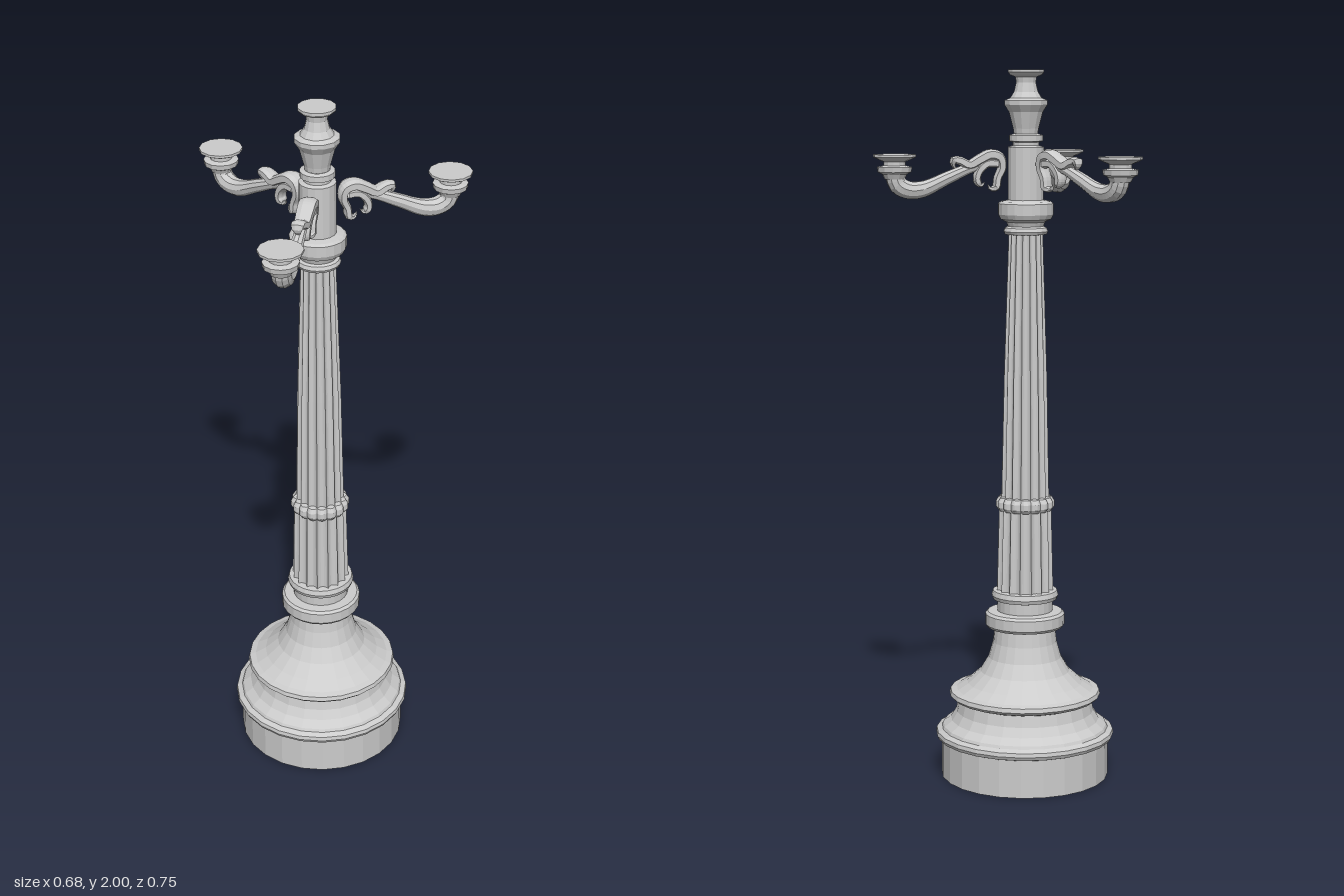
import * as THREE from 'three';

const AXIS_X = -0.085;
const FLUTES = 16;
const metal = new THREE.MeshStandardMaterial({ color: 0xcccccc, flatShading: true, side: THREE.DoubleSide });

function part(name, geometry) {
  const mesh = new THREE.Mesh(geometry, metal);
  mesh.name = name;
  return mesh;
}

// Turned piece from [radius, height] pairs
function turned(name, profile, sides) {
  return part(name, new THREE.LatheGeometry(profile.map(([r, y]) => new THREE.Vector2(r, y)), sides));
}

// Turned piece whose radius is scaled by a function of the angle
function ribbed(name, profile, rule) {
  const mesh = turned(name, profile, FLUTES * 6);
  const p = mesh.geometry.attributes.position;
  for (let i = 0; i < p.count; i++) {
    const k = rule(Math.atan2(p.getX(i), p.getZ(i)));
    p.setX(i, p.getX(i) * k);
    p.setZ(i, p.getZ(i) * k);
  }
  mesh.geometry.computeVertexNormals();
  return mesh;
}

// Tapered sweep along a planar path; width widens and squares the section in z
function sweep(name, path, radii, width = 1, steps = 28) {
  const curve = new THREE.CatmullRomCurve3(path.map(([x, y]) => new THREE.Vector3(x, y, 0)));
  const sides = 10;
  const geometry = new THREE.TubeGeometry(curve, steps, 1, sides);
  const p = geometry.attributes.position;
  for (let i = 0; i < p.count; i++) {
    const t = Math.floor(i / (sides + 1)) / steps;
    const c = curve.getPointAt(t);
    const f = t * (radii.length - 1);
    const k = Math.min(Math.floor(f), radii.length - 2);
    const r = THREE.MathUtils.lerp(radii[k], radii[k + 1], f - k);
    const z = width > 1 ? THREE.MathUtils.clamp(p.getZ(i) * 1.25, -1, 1) : p.getZ(i);
    p.setXYZ(i, c.x + (p.getX(i) - c.x) * r, c.y + (p.getY(i) - c.y) * r, z * r * width);
  }
  geometry.computeVertexNormals();
  return part(name, geometry);
}

// Bracket arm pointing along +x from the post axis
function createArm() {
  const arm = new THREE.Group();
  arm.name = 'lampArm';
  arm.add(sweep('scroll', [
    [0.108, 1.69], [0.1, 1.676], [0.085, 1.68], [0.08, 1.705], [0.068, 1.735], [0.075, 1.762],
    [0.1, 1.77], [0.13, 1.757], [0.16, 1.742], [0.185, 1.753], [0.203, 1.755], [0.203, 1.738], [0.19, 1.73],
  ], [0, 0.011, 0.011, 0.013, 0.015, 0.015, 0.014, 0.013, 0.011, 0], 1.5, 44));
  arm.add(sweep('innerScroll', [
    [0.08, 1.745], [0.11, 1.745], [0.132, 1.725], [0.138, 1.7], [0.127, 1.686], [0.115, 1.695],
  ], [0.012, 0.012, 0.012, 0.011, 0.01, 0], 1.5));
  arm.add(sweep('branch', [
    [0.12, 1.742], [0.16, 1.732], [0.22, 1.707], [0.29, 1.677], [0.33, 1.675], [0.358, 1.69], [0.367, 1.72],
  ], [0.013, 0.015, 0.018, 0.02, 0.024, 0.026, 0.027]));
  const cup = turned('lampCup', [
    [0, 1.7], [0.028, 1.705], [0.034, 1.718], [0.046, 1.724], [0.048, 1.738], [0.03, 1.742],
    [0.03, 1.752], [0.045, 1.758], [0.059, 1.765], [0.059, 1.772], [0, 1.772],
  ], 12);
  cup.position.x = 0.367;
  cup.rotation.y = Math.PI / 12;
  arm.add(cup);
  return arm;
}

export function createModel() {
  const model = new THREE.Group();
  model.name = 'streetLamp';

  // Stepped base and flared pedestal
  model.add(turned('base', [
    [0, 0], [0.239, 0], [0.239, 0.108], [0.25, 0.112], [0.255, 0.122], [0.253, 0.133], [0.238, 0.14],
    [0.234, 0.148], [0.212, 0.165], [0.197, 0.19], [0.19, 0.222], [0.207, 0.228], [0.216, 0.237],
    [0.213, 0.249], [0.195, 0.254],
  ], 24));
  model.add(turned('pedestal', [
    [0.195, 0.254], [0.165, 0.272], [0.128, 0.305], [0.104, 0.345], [0.091, 0.39], [0.086, 0.432],
    [0.107, 0.434], [0.113, 0.442], [0.113, 0.472], [0.106, 0.479], [0.079, 0.481], [0.079, 0.512],
    [0.091, 0.515], [0.095, 0.526], [0.091, 0.54], [0.06, 0.543],
  ], 24));

  // Fluted shaft in two stages with a beaded band between
  const flute = (a) => 1 - 0.13 * Math.pow(Math.abs(Math.sin(a * FLUTES / 2)), 0.7);
  const bead = (a) => 0.92 + 0.1 * Math.abs(Math.sin(a * FLUTES / 2));
  model.add(ribbed('lowerShaft', [[0.081, 0.54], [0.075, 0.775]], flute));
  model.add(ribbed('beadedBand', [
    [0.06, 0.77], [0.074, 0.772], [0.081, 0.782], [0.081, 0.798], [0.074, 0.81], [0.055, 0.812],
  ], bead));
  model.add(ribbed('upperShaft', [[0.068, 0.808], [0.061, 1.15], [0.048, 1.555]], flute));

  // Capital, arm post and finial
  model.add(turned('capital', [
    [0.04, 1.548], [0.058, 1.55], [0.062, 1.558], [0.058, 1.568], [0.05, 1.572], [0.054, 1.584],
    [0.071, 1.592], [0.077, 1.605], [0.077, 1.635], [0.07, 1.641], [0.048, 1.645],
  ], 20));
  model.add(turned('armPost', [
    [0.05, 1.64], [0.05, 1.79], [0.037, 1.794], [0.037, 1.803], [0.047, 1.806], [0.047, 1.822], [0.034, 1.826],
  ], 16));
  model.add(turned('finial', [
    [0.034, 1.826], [0.036, 1.84], [0.048, 1.885], [0.061, 1.905], [0.061, 1.917], [0.045, 1.923],
    [0.034, 1.94], [0.028, 1.965], [0.03, 1.98], [0.045, 1.986], [0.051, 1.993], [0.051, 2], [0, 2],
  ], 12));

  // Three arms evenly spaced
  for (let i = 0; i < 3; i++) {
    const arm = createArm();
    arm.rotation.y = (i * Math.PI * 2) / 3;
    model.add(arm);
  }

  for (const child of model.children) child.position.x = AXIS_X;
  return model;
}
